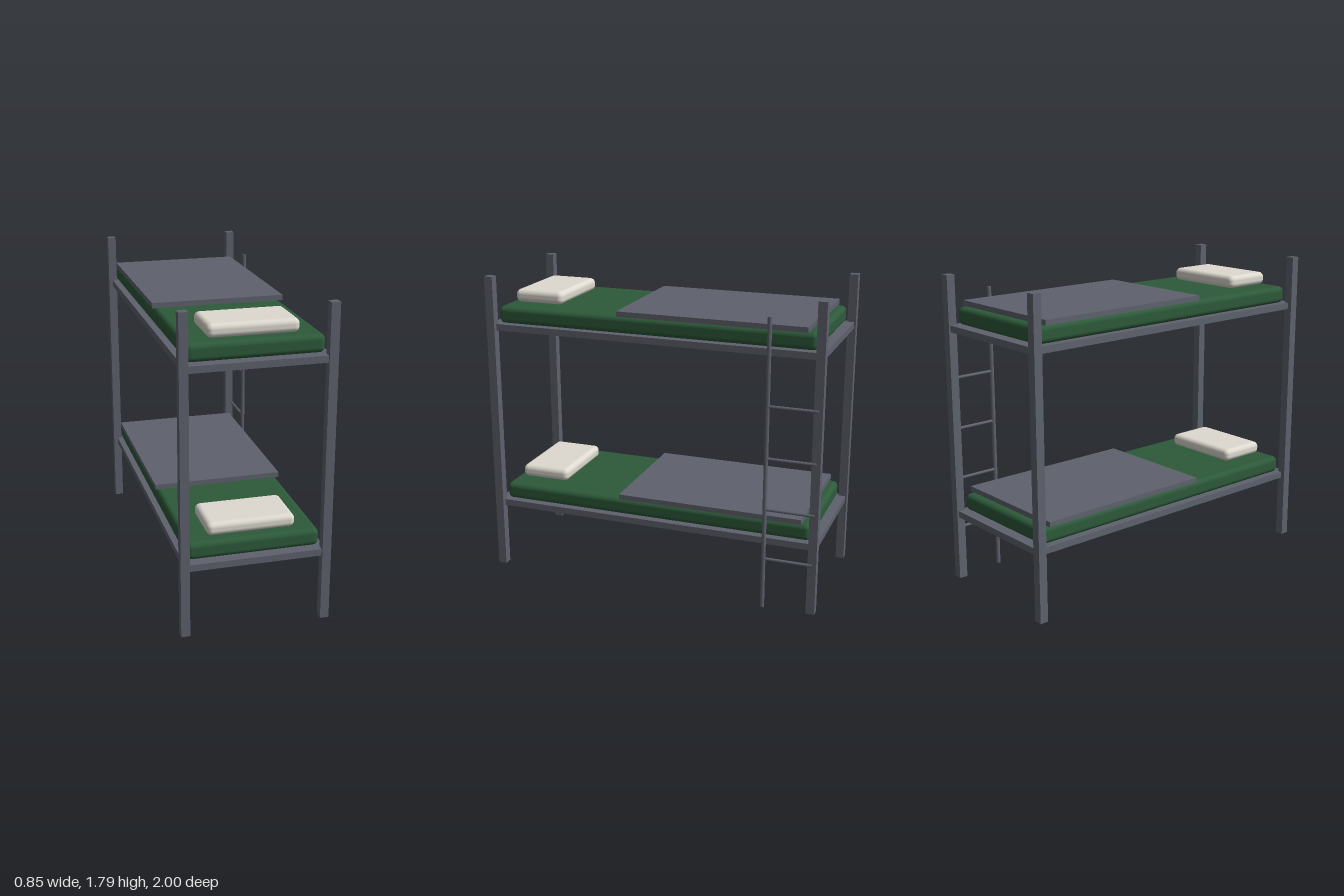
import * as THREE from 'three';
import { RoundedBoxGeometry } from 'three/addons/geometries/RoundedBoxGeometry.js';

export function createModel() {
  const model = new THREE.Group();
  model.name = 'bunkBed';

  const material = (name, color) => {
    const m = new THREE.MeshStandardMaterial({ color });
    m.name = name;
    return m;
  };
  const steel = material('grey steel and blanket', 0x5e626d);
  const green = material('green mattress', 0x2d5a3a);
  const linen = material('off-white linen', 0xdedad0);

  const add = (parent, name, geometry, mat, x, y, z) => {
    const mesh = new THREE.Mesh(geometry, mat);
    mesh.name = name;
    mesh.position.set(x, y, z);
    parent.add(mesh);
    return mesh;
  };

  // Bed frame sits slightly off centre because the ladder is on one side
  const frame = new THREE.Group();
  frame.name = 'frame';
  frame.position.x = -0.005;
  model.add(frame);

  // Corner posts
  const post = new THREE.BoxGeometry(0.05, 1.795, 0.05);
  for (const x of [-0.395, 0.395]) {
    for (const z of [-0.975, 0.975]) add(frame, 'post', post, steel, x, 0.8975, z);
  }

  // Two identical bunks: deck, mattress, folded blanket and pillow
  const deck = new THREE.BoxGeometry(0.79, 0.038, 1.98);
  const mattress = new RoundedBoxGeometry(0.74, 0.1, 1.89, 4, 0.03);
  const blanket = new THREE.BoxGeometry(0.76, 0.03, 1.095);
  const pillow = new RoundedBoxGeometry(0.495, 0.075, 0.3, 4, 0.03);
  for (const [name, y] of [['lowerBunk', 0.4], ['upperBunk', 1.496]]) {
    const bunk = new THREE.Group();
    bunk.name = name;
    bunk.position.y = y;
    add(bunk, 'deck', deck, steel, 0, 0, 0);
    add(bunk, 'mattress', mattress, green, 0, 0.069, 0);
    add(bunk, 'blanket', blanket, steel, 0, 0.134, -0.3475);
    add(bunk, 'pillow', pillow, linen, 0, 0.161, 0.747);
    frame.add(bunk);
  }

  // Ladder: one upright with rungs running back to the rear post
  const ladder = new THREE.Group();
  ladder.name = 'ladder';
  ladder.position.x = 0.4125;
  model.add(ladder);
  add(ladder, 'ladderRail', new THREE.CylinderGeometry(0.0125, 0.0125, 1.695, 12), steel, 0, 0.8475, -0.695);
  const rung = new THREE.CylinderGeometry(0.009, 0.009, 0.28, 10).rotateX(Math.PI / 2);
  for (let i = 1; i <= 4; i++) add(ladder, 'rung', rung, steel, 0, i * 0.3, -0.837);

  return model;
}
